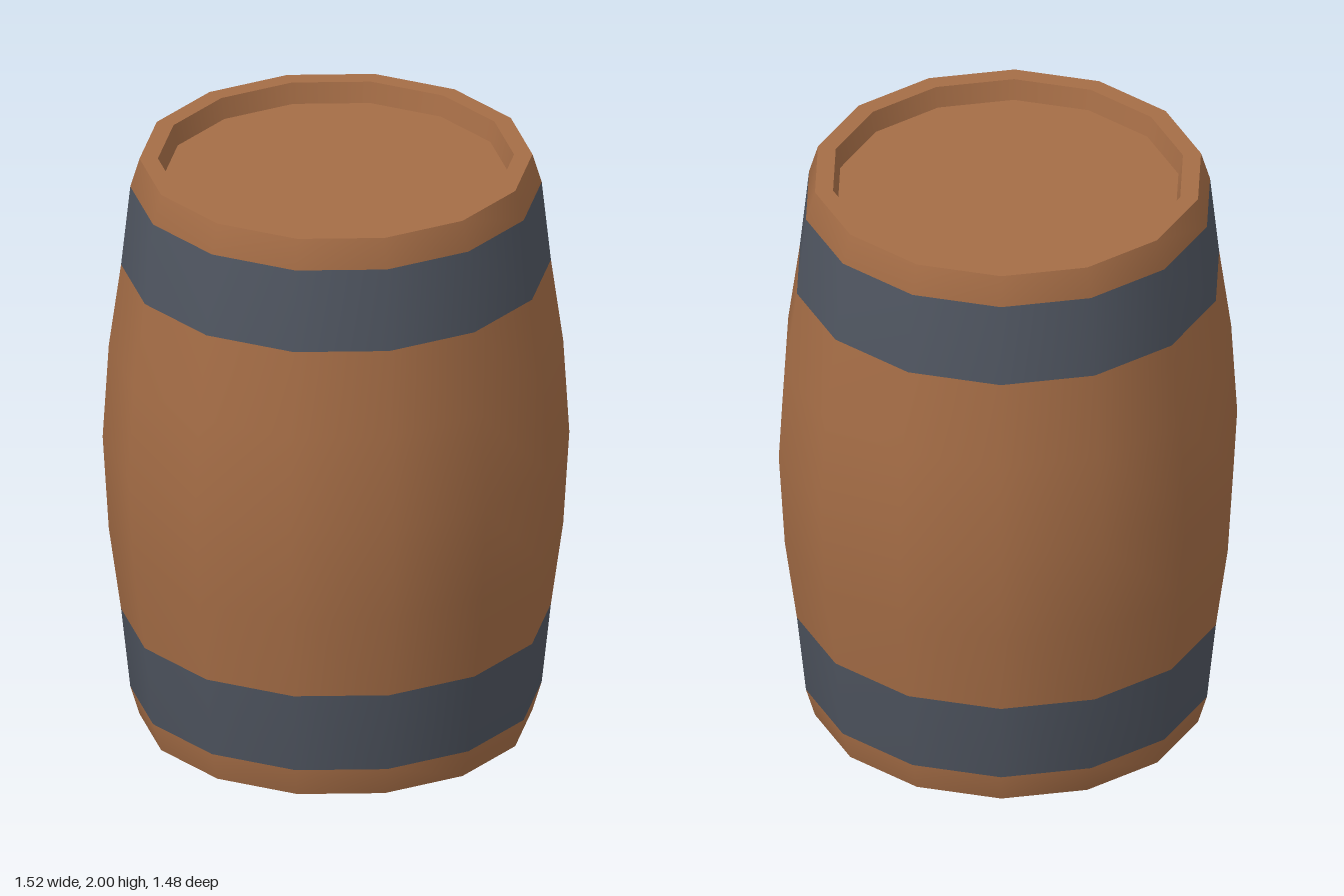
import * as THREE from 'three';

const SIDES = 14;

export function createModel() {
  const barrel = new THREE.Group();
  barrel.name = 'barrel';

  const wood = new THREE.MeshStandardMaterial({ color: 0xa56d46 });
  wood.name = 'wood';
  const iron = new THREE.MeshStandardMaterial({ color: 0x4f5560 });
  iron.name = 'iron';

  // Revolve a profile of [radius, height] pairs, with a corner on +x
  const turn = (profile) => new THREE.LatheGeometry(
    profile.map(([r, y]) => new THREE.Vector2(r, y)), SIDES, Math.PI / 2);

  const add = (name, geometry, material) => {
    const mesh = new THREE.Mesh(geometry, material);
    mesh.name = name;
    barrel.add(mesh);
  };

  // Bulging side: one smooth skin, with the two hoops as coloured bands
  const lower = [[0.64, 0], [0.67, 0.1], [0.70, 0.38], [0.74, 0.67]];
  const upper = lower.map(([r, y]) => [r, 2 - y]).reverse();
  const profile = [...lower, [0.76, 1], ...upper];
  const bands = profile.length - 1;
  const side = turn(profile);
  for (let i = 0; i < SIDES; i++) {
    for (let j = 0; j < bands; j++) {
      const isHoop = j === 1 || j === bands - 2;
      side.addGroup((i * bands + j) * 6, 6, isHoop ? 1 : 0);
    }
  }
  add('stavesAndHoops', side, [wood, iron]);

  // Flat bottom, top rim, and the lid sunk inside it
  add('base', turn([[0, 0], [0.64, 0]]), wood);
  add('rim', turn([[0.64, 2], [0.58, 2]]), wood);
  add('rimInnerWall', turn([[0.58, 2], [0.565, 1.93]]), wood);
  add('lid', turn([[0.565, 1.93], [0, 1.93]]), wood);

  return barrel;
}
